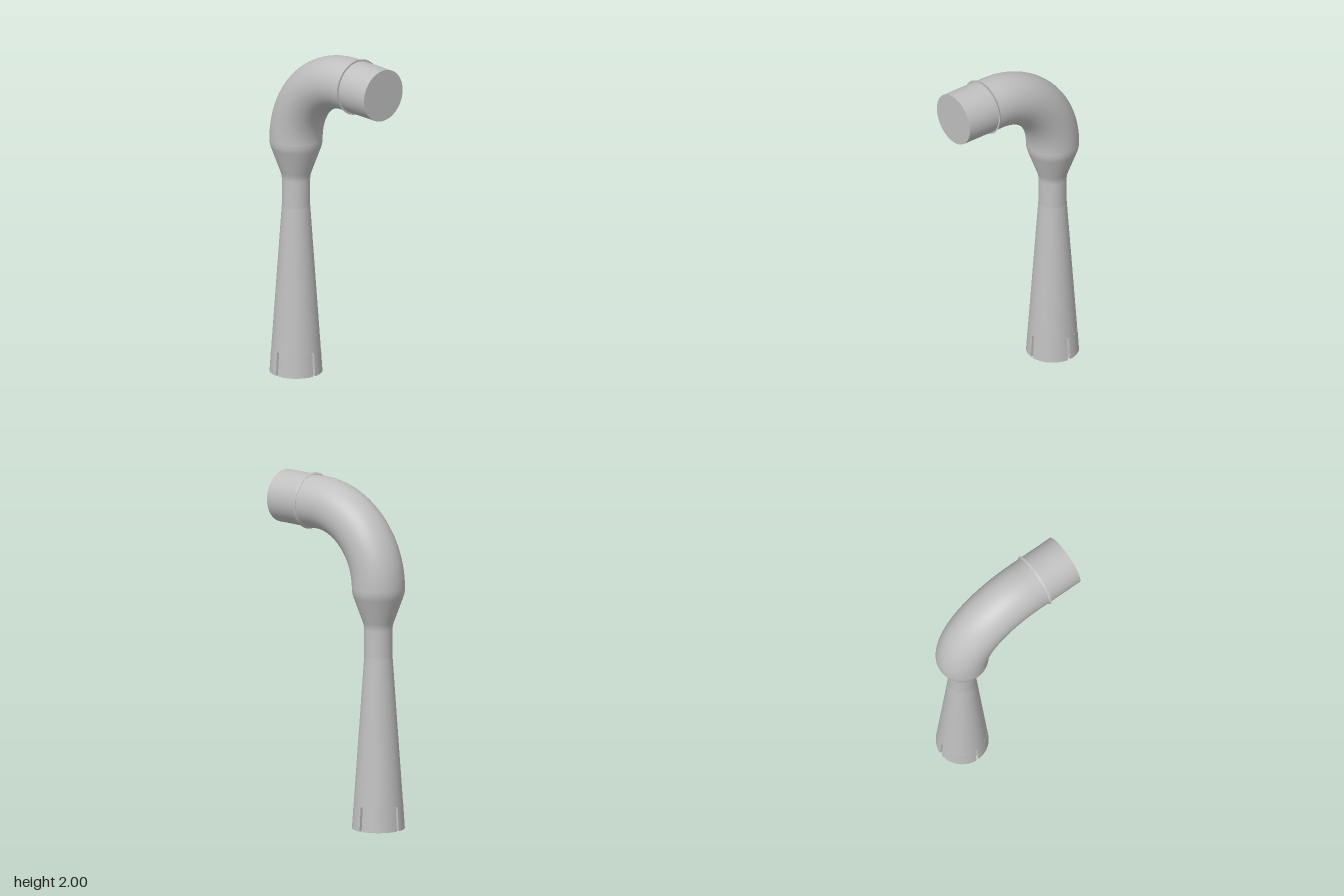
import * as THREE from 'three';
import { toCreasedNormals } from 'three/addons/utils/BufferGeometryUtils.js';

const AXIS_X = -0.285;   // centre of the upright
const PIPE_R = 0.152;    // radius of the elbow and outlet
const BEND_R = 0.437;    // centreline radius of the elbow
const BEND_Y = 1.40;     // height where the elbow begins
const BASE_R = 0.151;
const NECK_R = 0.081;
const SLOT_TOP = 0.14;
const SLOT_HALF = 0.008;
const SEGMENTS = 72;

const taperRadius = (y) => BASE_R + (NECK_R - BASE_R) * y;

// One quarter of the slotted foot, narrowing toward its top
function footQuarterGeometry() {
  const h = SLOT_HALF;
  const a = Math.asin(h / BASE_R);
  const shape = new THREE.Shape();
  shape.moveTo(h, h);
  shape.lineTo(BASE_R * Math.cos(a), h);
  shape.absarc(0, 0, BASE_R, a, Math.PI / 2 - a, false);
  shape.closePath();
  const geo = new THREE.ExtrudeGeometry(shape, { depth: SLOT_TOP, bevelEnabled: false, curveSegments: 18 });
  const p = geo.attributes.position;
  for (let i = 0; i < p.count; i++) {
    const k = taperRadius(p.getZ(i)) / BASE_R;
    p.setX(i, h + (p.getX(i) - h) * k);
    p.setY(i, h + (p.getY(i) - h) * k);
  }
  geo.rotateX(-Math.PI / 2);
  return toCreasedNormals(geo, 0.5);
}

export function createModel() {
  const model = new THREE.Group();
  model.name = 'elbowPipe';
  const metal = new THREE.MeshStandardMaterial({ color: 0xc0c0c0 });
  metal.name = 'lightGrey';

  const add = (name, geo, x, y, parent = model) => {
    const mesh = new THREE.Mesh(geo, metal);
    mesh.name = name;
    mesh.position.set(x, y, 0);
    parent.add(mesh);
    return mesh;
  };

  // Foot: four quarters separated by crossing slots
  const foot = new THREE.Group();
  foot.name = 'slottedFoot';
  foot.position.x = AXIS_X;
  model.add(foot);
  const quarter = footQuarterGeometry();
  for (let i = 0; i < 4; i++) {
    add('footQuarter', quarter, 0, 0, foot).rotation.y = i * Math.PI / 2;
  }

  // Roof of the slots
  const roof = new THREE.CircleGeometry(taperRadius(SLOT_TOP), SEGMENTS).rotateX(Math.PI / 2);
  add('slotRoof', roof, AXIS_X, SLOT_TOP);

  // Tapered stem
  const lathe = (points) => new THREE.LatheGeometry(points.map(([r, y]) => new THREE.Vector2(r, y)), SEGMENTS);
  add('taperedStem', lathe([[taperRadius(SLOT_TOP), SLOT_TOP], [NECK_R, 1.0]].map(([r, y]) => [r, y])), AXIS_X, 0);

  // Straight neck opening into the elbow through a rounded cone
  add('neck', lathe([
    [NECK_R, 1.0], [NECK_R, 1.16], [0.082, 1.175], [0.085, 1.19], [0.090, 1.205],
    [0.143, 1.35], [0.148, 1.367], [0.151, 1.383], [PIPE_R, BEND_Y],
  ]), AXIS_X, 0);

  // Quarter-turn elbow
  const elbow = new THREE.TorusGeometry(BEND_R, PIPE_R, SEGMENTS, 48, Math.PI / 2).rotateZ(Math.PI / 2);
  add('elbow', elbow, AXIS_X + BEND_R, BEND_Y);

  // Outlet with a closed end
  const outletY = BEND_Y + BEND_R;
  const outletStart = AXIS_X + BEND_R;
  const outletEnd = 0.437;
  const length = outletEnd - outletStart;
  const outlet = new THREE.CylinderGeometry(PIPE_R, PIPE_R, length, SEGMENTS).rotateZ(-Math.PI / 2);
  add('outlet', outlet, outletStart + length / 2, outletY);

  // Thin bevelled collar
  const collar = new THREE.CylinderGeometry(0.163, 0.154, 0.012, SEGMENTS).rotateZ(-Math.PI / 2);
  add('collar', collar, 0.221, outletY);

  return model;
}
